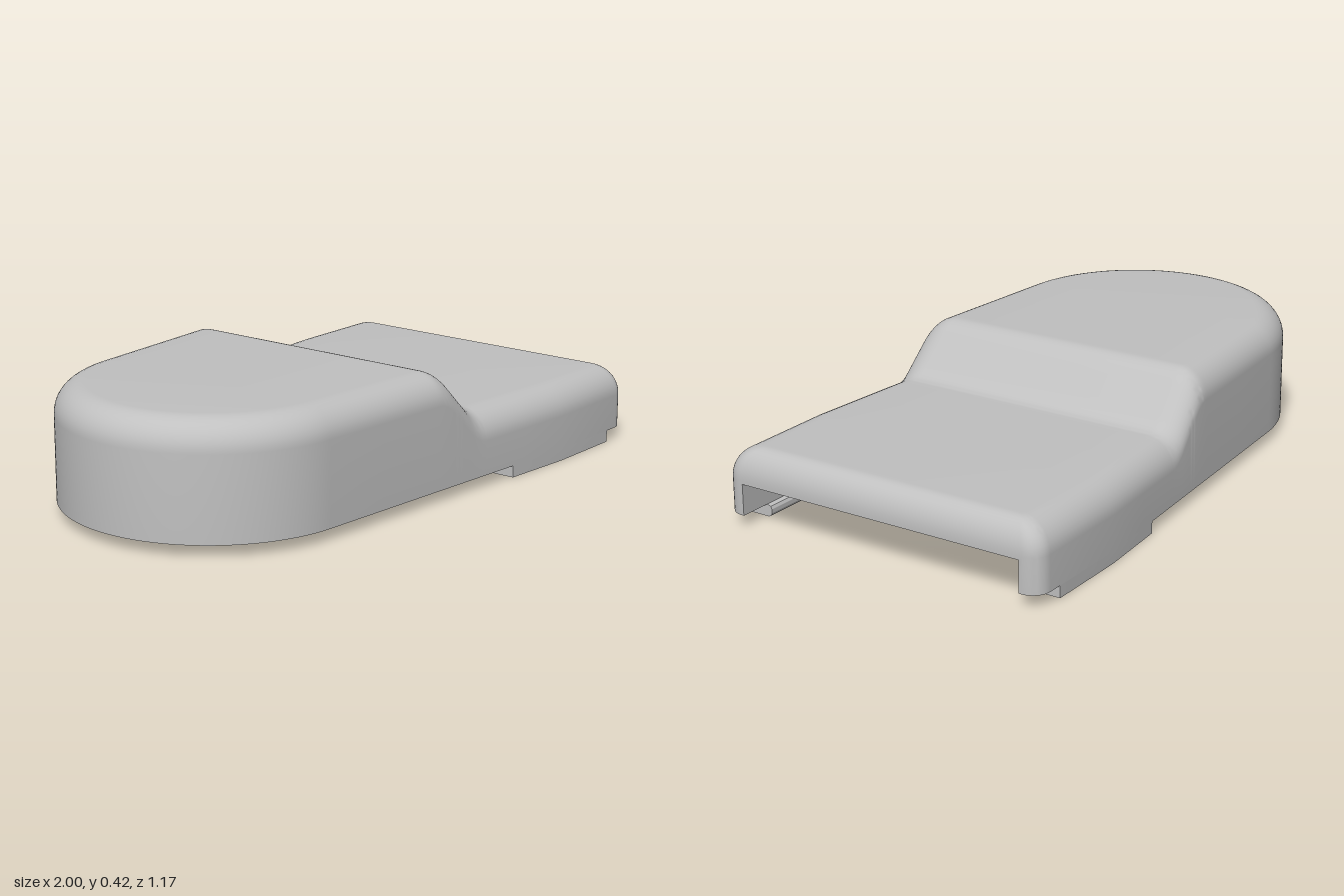
import * as THREE from 'three';
import { toCreasedNormals, mergeGeometries } from 'three/addons/utils/BufferGeometryUtils.js';

const V = (x, y, z) => new THREE.Vector3(x, y, z);
const CX = -0.5, R = 0.5, ZMAX = 0.587, KINK = 0.6;      // rounded end and widest point of the plan
const TAPER = 0.0785;                                    // angle of the tapering sides
const RIM = 0.04, CEIL = 0.145, DEEP = 0.25, WALL = 0.07, FILLET = 0.1;
const ARC = 40;

// Height of the top: a high deck, a softened 45 degree ramp, a low deck
const soft = (u, w = 0.038) => (u < -w ? 0 : u > w ? u : (u + w) ** 2 / (4 * w));
const height = (x) => 0.42 - soft(x) + soft(x - 0.163);

// Half of the plan outline (z >= 0) inset by d, from the rounded tip to the square end
function halfOutline(d, xEnd, corner) {
  const pts = [], r = R - d, end = Math.PI / 2 + TAPER;
  for (let i = 0; i <= ARC; i++) {
    const a = Math.PI + (end - Math.PI) * (i / ARC);
    pts.push([CX + r * Math.cos(a), r * Math.sin(a)]);
  }
  const [tx, tz] = pts[ARC], zMax = ZMAX - d;
  const xs = [-0.3];
  for (let x = -0.08; x < 0.25; x += 0.01) xs.push(x);
  xs.push(0.4, KINK);
  for (const x of xs) pts.push([x, tz + (zMax - tz) * (x - tx) / (KINK - tx)]);
  for (let i = 0; i <= 8; i++) {
    const a = (Math.PI / 2) * (1 - i / 8);
    pts.push([xEnd - corner + corner * Math.cos(a), zMax - corner + corner * Math.sin(a)]);
  }
  return pts;
}

// Both halves joined, running from the back corner round the tip to the front corner
const fullOutline = (half) => [...half.slice(1).reverse().map(([x, z]) => [x, -z]), ...half];

// Surface through rows of points
function grid(rows) {
  const p = [];
  for (let j = 0; j + 1 < rows.length; j++) {
    for (let i = 0; i + 1 < rows[j].length; i++) {
      const a = rows[j][i], b = rows[j][i + 1], c = rows[j + 1][i + 1], d = rows[j + 1][i];
      for (const v of [a, b, d, b, c, d]) p.push(v.x, v.y, v.z);
    }
  }
  const g = new THREE.BufferGeometry();
  g.setAttribute('position', new THREE.Float32BufferAttribute(p, 3));
  return g;
}

const level = (pts, y) => pts.map(([x, z]) => V(x, y, z));
const circle = (x, z, r, a0, a1, n = 32) => Array.from({ length: n + 1 }, (_, i) => {
  const a = a0 + (a1 - a0) * i / n;
  return [x + r * Math.cos(a), z + r * Math.sin(a)];
});

// Flat plate facing down at height y
function ceiling(pts, y, holes = []) {
  const s = new THREE.Shape(pts.map(([x, z]) => new THREE.Vector2(x, z)));
  for (const h of holes) s.holes.push(new THREE.Path(h.map(([x, z]) => new THREE.Vector2(x, z))));
  return new THREE.ShapeGeometry(s).rotateX(Math.PI / 2).translate(0, y, 0);
}

export function createModel() {
  const group = new THREE.Group();
  const grey = new THREE.MeshStandardMaterial({ color: 0xc0c0c0, side: THREE.DoubleSide });
  grey.name = 'light grey';
  const add = (name, geo, smooth = true) => {
    const m = new THREE.Mesh(smooth ? toCreasedNormals(geo, 0.5) : geo, grey);
    m.name = name;
    group.add(m);
  };

  // Outer skin: upright walls, rounded top edge, stepped top
  const outer = halfOutline(0, 1, 0.06), loop = fullOutline(outer);
  const rings = [];
  let topHalf;
  for (let k = 0; k <= 10; k++) {
    const a = (Math.PI / 2) * (k / 10), d = FILLET * (1 - Math.cos(a));
    topHalf = halfOutline(d, 1 - 0.7 * d, 0.06 - 0.4 * d);
    const ring = fullOutline(topHalf).map(([x, z]) => V(x, height(x) - FILLET * (1 - Math.sin(a)), z));
    rings.push([...ring, ring[0]]);
  }
  const deck = [1, -1].map((s) => topHalf.map(([x, z]) => V(x, height(x), s * z)));
  const zc = ZMAX - 0.06, zi = ZMAX - WALL, yEnd = height(1) - FILLET;
  const endFace = (z0, z1, y0, y1) => grid([[V(1, y0, z0), V(1, y0, z1)], [V(1, y1, z0), V(1, y1, z1)]]);
  add('outerShell', mergeGeometries([
    grid([level(loop, RIM), rings[0].slice(0, -1)]),
    grid(rings),
    grid(deck),
    endFace(zc, -zc, CEIL, yEnd),
    endFace(zc, zi, RIM, CEIL),
    endFace(-zi, -zc, RIM, CEIL),
  ]));

  // Bottom rim and the inside of the walls
  const inner = halfOutline(WALL, 1, 0), innerLoop = fullOutline(inner);
  add('bottomRim', grid([level(innerLoop, RIM), level(loop, RIM)]));
  const side = inner.slice(ARC), back = side.map(([x, z]) => [x, -z]).reverse();
  for (const pts of [side, back]) add('innerSideWall', grid([level(pts, CEIL), level(pts, RIM)]));

  // Shallow ceiling, stopping at the round pocket
  const pr = R - WALL, ta = Math.PI / 2 + TAPER;
  const step = circle(CX, 0, pr, -ta, ta, 48);
  add('shallowCeiling', ceiling([...side, ...back, ...step.slice(1, -1)], CEIL), false);

  // Deep round pocket with two blind holes
  const tip = fullOutline(inner.slice(0, ARC + 1));
  add('pocketEndWall', grid([level(tip, DEEP), level(tip, RIM)]));
  add('pocketStepWall', grid([level(step, CEIL), level(step, DEEP)]));
  const holes = [0.21, -0.21].map((z) => circle(-0.27, z, 0.07, 0, Math.PI * 2));
  add('pocketCeiling', ceiling(circle(CX, 0, pr, 0, Math.PI * 2, 96).slice(0, -1), DEEP,
    holes.map((h) => h.slice(0, -1))), false);
  for (const h of holes) {
    add('holeWall', grid([level(h, DEEP), level(h, DEEP + 0.12)]));
    add('holeEnd', ceiling(h.slice(0, -1), DEEP + 0.12), false);
  }

  // Retaining tabs below the side walls, with a rounded inner lip
  const section = [[0, 0], [0.076, 0], [0.085, 0.004], [0.09, 0.013], [0.09, 0.027],
    [0.085, 0.036], [0.076, RIM], [0, RIM], [0, 0]];
  for (const s of [1, -1]) {
    const prof = s > 0 ? section : [...section].reverse();
    const rows = [0.34, KINK, 0.89].map((x) => {
      const z = ZMAX - Math.max(0, KINK - x) * TAPER;
      return prof.map(([inset, y]) => V(x, y, s * (z - inset)));
    });
    const hub = (row) => row.map(() => V(row[0].x, 0.02, (row[0].z + s * (Math.abs(row[0].z) - 0.09)) / 2));
    add(s > 0 ? 'frontTab' : 'backTab', grid([hub(rows[0]), ...rows, hub(rows[2])]));
  }
  return group;
}
